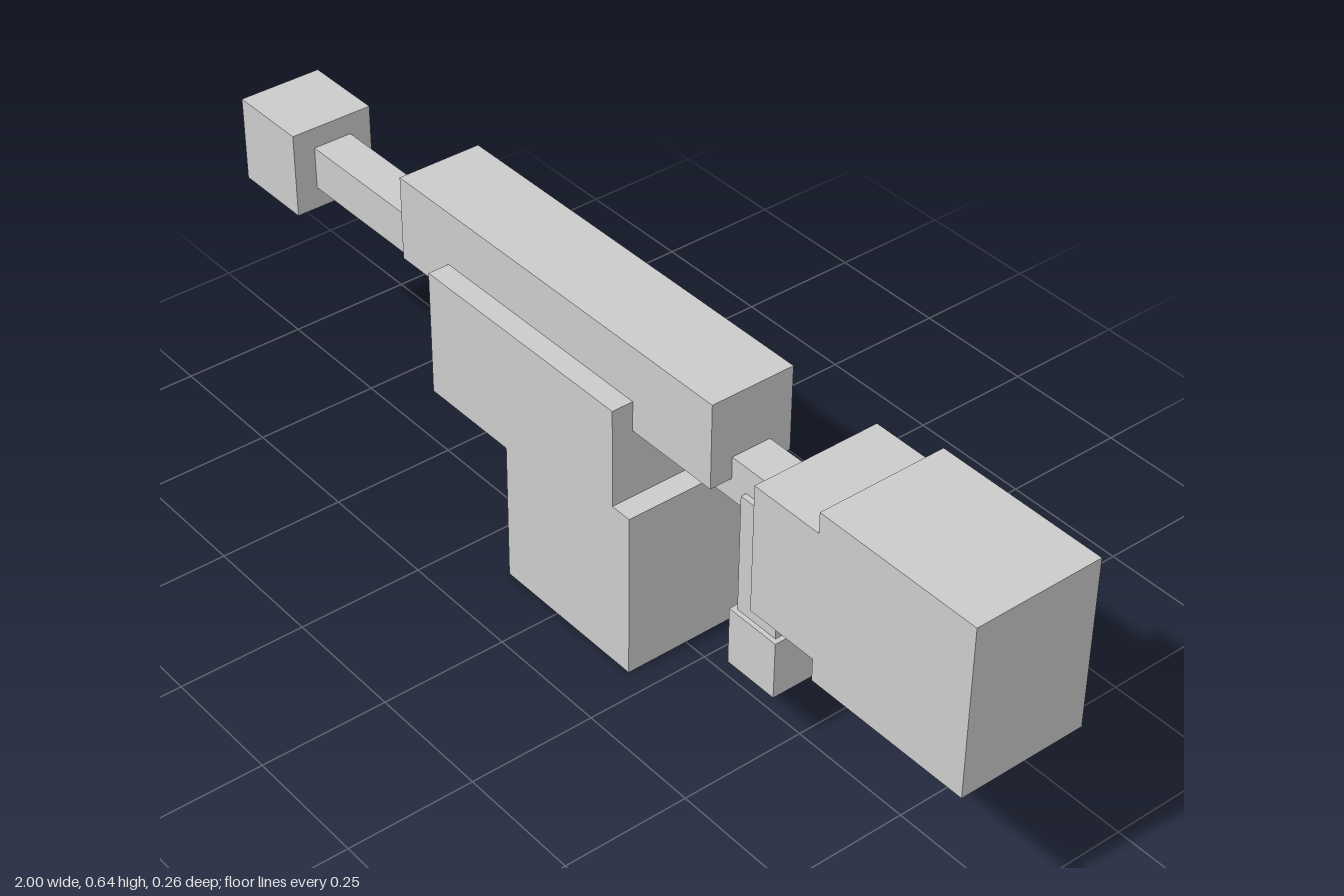
import * as THREE from 'three';

const material = new THREE.MeshStandardMaterial({ color: 0xcccccc, flatShading: true });

// Box from its x and y extents, centred on z
function block(name, x0, x1, y0, y1, depth) {
  const mesh = new THREE.Mesh(new THREE.BoxGeometry(x1 - x0, y1 - y0, depth), material);
  mesh.position.set((x0 + x1) / 2, (y0 + y1) / 2, 0);
  mesh.name = name;
  return mesh;
}

// Side outline extruded across the width, centred on z
function slab(name, outline, depth) {
  const shape = new THREE.Shape(outline.map(([x, y]) => new THREE.Vector2(x, y)));
  const geometry = new THREE.ExtrudeGeometry(shape, { depth, bevelEnabled: false });
  geometry.translate(0, 0, -depth / 2);
  const mesh = new THREE.Mesh(geometry, material);
  mesh.name = name;
  return mesh;
}

export function createModel() {
  const model = new THREE.Group();
  model.name = 'blockyLauncher';

  // Long bar with its end block and the cover on top
  model.add(
    block('muzzle', -1, -0.832, 0.39, 0.562, 0.17),
    block('barrel', -0.832, 0.508, 0.434, 0.52, 0.08),
    block('topCover', -0.492, 0.354, 0.476, 0.645, 0.17),
  );

  // Stepped housing hanging below the cover
  model.add(slab('magazine', [
    [-0.14, 0], [0.2, 0], [0.2, 0.338], [0.155, 0.338],
    [0.155, 0.536], [-0.354, 0.536], [-0.354, 0.283], [-0.14, 0.283],
  ], 0.256));

  // Handle with a wider foot
  model.add(
    block('grip', 0.39, 0.486, 0.229, 0.468, 0.102),
    block('gripFoot', 0.38, 0.496, 0.112, 0.229, 0.12),
  );

  // Rear stock with a narrower neck
  model.add(slab('stock', [
    [0.508, 0.346], [0.658, 0.346], [0.658, 0.302], [1, 0.302],
    [1, 0.641], [0.658, 0.641], [0.658, 0.6], [0.508, 0.6],
  ], 0.256));

  return model;
}
